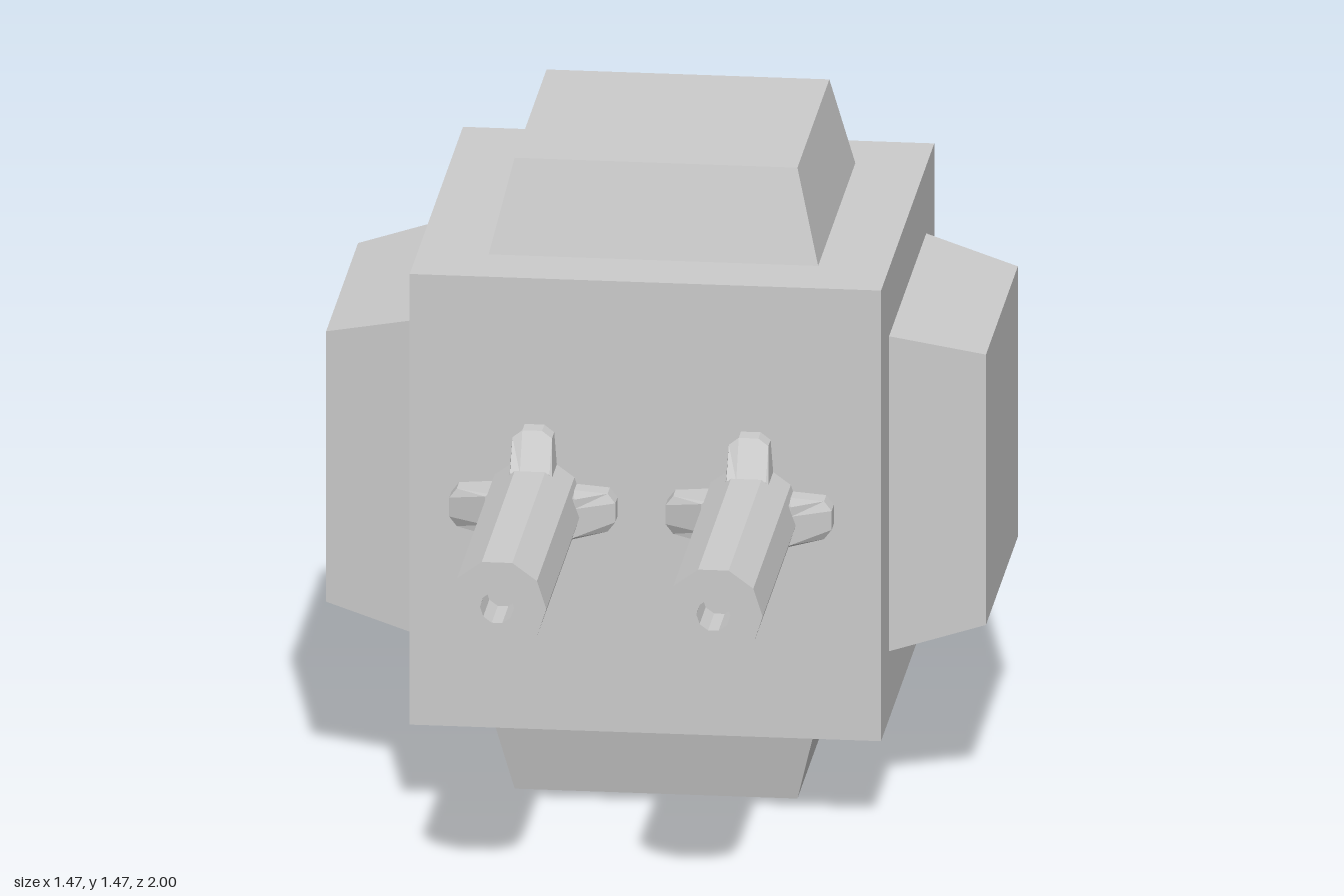
import * as THREE from 'three';

const CY = 0.735, CZ = -0.265, HALF = 0.525; // cube centre and half size
const mat = new THREE.MeshStandardMaterial({ color: 0xcccccc, flatShading: true });

function add(parent, geo, name) {
  const mesh = new THREE.Mesh(geo, mat);
  mesh.name = name;
  parent.add(mesh);
  return mesh;
}

// Square tapered block standing on one face of the cube
function plateGeometry() {
  const h = 0.21, r = Math.SQRT2;
  return new THREE.CylinderGeometry(0.315 * r, 0.367 * r, h, 4)
    .rotateY(Math.PI / 4)
    .translate(0, HALF + h / 2, 0);
}

// Ten-sided barrel with a bore in its front end, running along +z
function barrelGeometry() {
  const profile = [[0.11, 0.24], [0.11, 1], [0.038, 1], [0.038, 0.88], [0, 0.88]]
    .map(([r, z]) => new THREE.Vector2(r, z));
  return new THREE.LatheGeometry(profile, 10)
    .rotateY(Math.PI / 2)
    .rotateX(Math.PI / 2);
}

// Bracing lug: chamfered tip, front end sloping down to the barrel
function lugGeometry() {
  const half = [[0.05, 0.09], [0.044, 0.168], [0.022, 0.185]];
  const outline = [...half, ...half.map(([x, y]) => [-x, y]).reverse()];
  const shape = new THREE.Shape(outline.map(([x, y]) => new THREE.Vector2(x, y)));
  const geo = new THREE.ExtrudeGeometry(shape, { depth: 0.1, steps: 2, bevelEnabled: false });
  const p = geo.attributes.position;
  for (let i = 0; i < p.count; i++) {
    if (p.getZ(i) > 0.09) p.setY(i, Math.min(p.getY(i), 0.1));
  }
  geo.translate(0, 0, 0.255);
  geo.computeVertexNormals();
  return geo;
}

export function createModel() {
  const model = new THREE.Group();
  model.name = 'cubeTurret';

  // Cube body
  const body = new THREE.Group();
  body.name = 'body';
  body.position.set(0, CY, CZ);
  model.add(body);
  add(body, new THREE.BoxGeometry(HALF * 2, HALF * 2, HALF * 2), 'cube');

  // Tapered plates on every face except the front
  const plate = plateGeometry();
  const faces = {
    topPlate: [0, 0], bottomPlate: [Math.PI, 0],
    leftPlate: [0, -Math.PI / 2], rightPlate: [0, Math.PI / 2],
    backPlate: [-Math.PI / 2, 0],
  };
  for (const [name, [rx, rz]] of Object.entries(faces)) {
    add(body, plate, name).rotation.set(rx, 0, rz);
  }

  // Twin barrels, each with four lugs at its root
  const barrel = barrelGeometry(), lug = lugGeometry();
  for (const [name, x] of [['leftGun', 0.235], ['rightGun', -0.247]]) {
    const gun = new THREE.Group();
    gun.name = name;
    gun.position.set(x, CY, 0);
    add(gun, barrel, 'barrel');
    for (let i = 0; i < 4; i++) add(gun, lug, 'lug').rotation.z = i * Math.PI / 2;
    model.add(gun);
  }
  return model;
}
